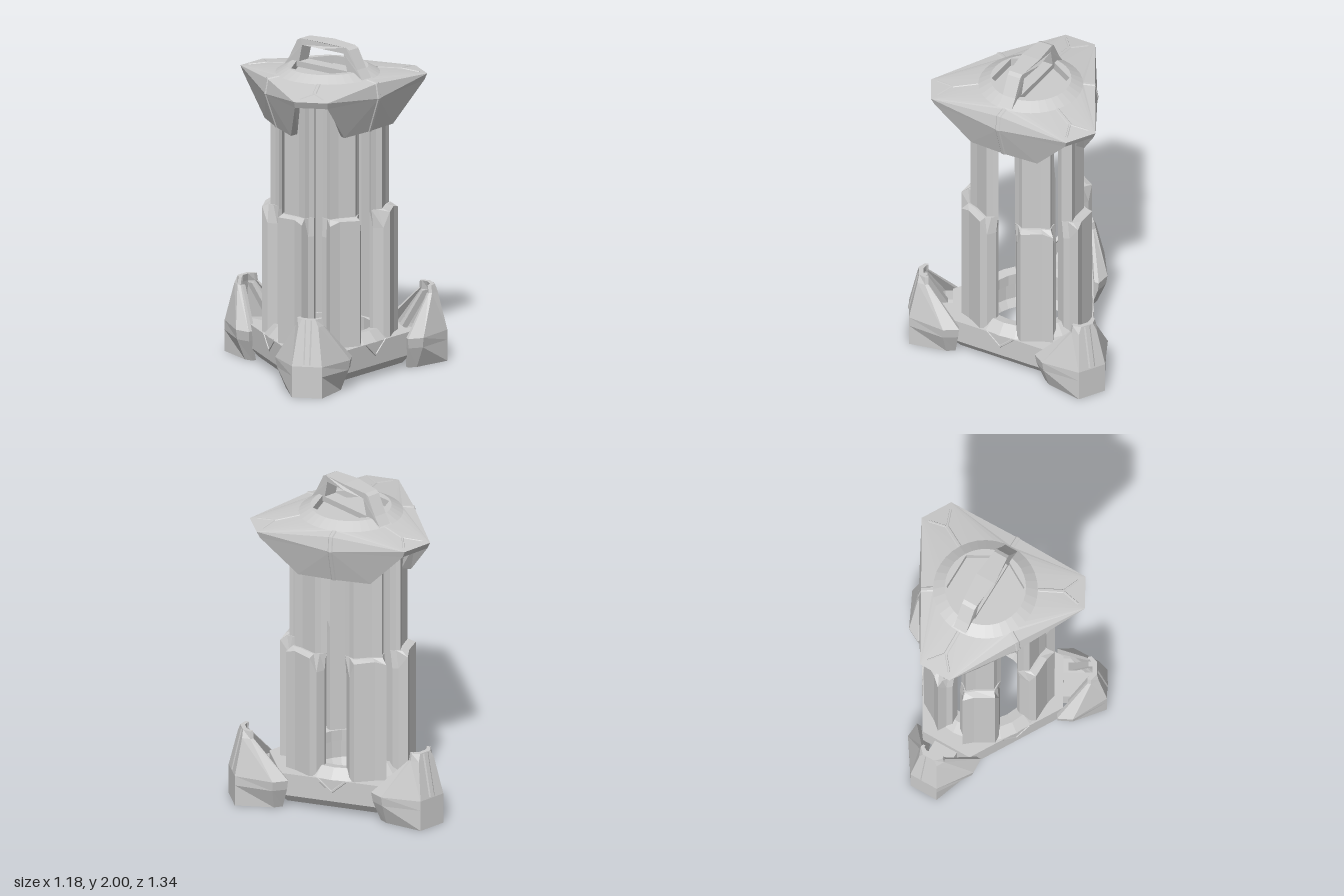
import * as THREE from 'three';

const metal = new THREE.MeshStandardMaterial({ color: 0xcccccc, side: THREE.DoubleSide });
metal.name = 'lightGrey';

const add = (parent, name, geometry) => {
  const flat = geometry.index ? geometry.toNonIndexed() : geometry;
  flat.computeVertexNormals();
  const mesh = new THREE.Mesh(flat, metal);
  mesh.name = name;
  parent.add(mesh);
};

// Flat polygons, each a list of [x, y, z] corners, fanned into triangles
function polygons(list) {
  const pos = [];
  for (const p of list)
    for (let i = 1; i < p.length - 1; i++) pos.push(...p[0], ...p[i], ...p[i + 1]);
  return new THREE.BufferGeometry().setAttribute('position', new THREE.Float32BufferAttribute(pos, 3));
}

// Solid through stacked outlines with equal point counts, capped at both ends
function loft(rows) {
  const flatten = s => s.map(p => new THREE.Vector2(p[0], p[2]));
  const sections = THREE.ShapeUtils.area(flatten(rows[0])) < 0 ? rows.map(s => [...s].reverse()) : rows;
  const faces = [];
  const n = sections[0].length, last = sections.length - 1;
  for (let j = 0; j < last; j++)
    for (let i = 0; i < n; i++) {
      const k = (i + 1) % n, a = sections[j], b = sections[j + 1];
      faces.push([a[i], b[i], b[k], a[k]]);
    }
  for (const t of THREE.ShapeUtils.triangulateShape(flatten(sections[0]), []))
    faces.push(t.map(i => sections[0][i]));
  for (const t of THREE.ShapeUtils.triangulateShape(flatten(sections[last]), []))
    faces.push(t.map(i => sections[last][i]).reverse());
  return polygons(faces);
}

const flip = p => [p[0], p[1], -p[2]];
const polar = (r, deg, y) => [r * Math.cos(deg * Math.PI / 180), y, r * Math.sin(deg * Math.PI / 180)];

// Raised rib following a path
function rib(path, half, lift) {
  const faces = [];
  for (let i = 0; i < path.length - 1; i++) {
    const a = new THREE.Vector3(...path[i]), b = new THREE.Vector3(...path[i + 1]);
    const dir = b.clone().sub(a).normalize();
    const ref = Math.abs(dir.y) > 0.6 ? new THREE.Vector3(1, 0, 0) : new THREE.Vector3(0, 1, 0);
    const side = new THREE.Vector3().crossVectors(dir, ref).normalize();
    const out = new THREE.Vector3().crossVectors(side, dir).normalize().multiplyScalar(lift);
    side.multiplyScalar(half);
    const at = (p, s, o) => p.clone().addScaledVector(side, s).addScaledVector(out, o).toArray();
    const ring = p => [at(p, 1, 0), at(p, 0.6, 1), at(p, -0.6, 1), at(p, -1, 0)];
    const A = ring(a), B = ring(b);
    for (let k = 0; k < 3; k++) faces.push([A[k], A[k + 1], B[k + 1], B[k]]);
  }
  return polygons(faces);
}

// Pillar outline on one side of an arm: [x, z]; outer corners first, then inner
const outer = [[0.34, 0.025], [0.36, 0.055], [0.41, 0.085], [0.366, 0.136], [0.301, 0.245], [0.26, 0.245], [0.205, 0.22]];
const inner = [[0.19, 0.195], [0.25, 0.1], [0.28, 0.025]];
const shoulder = [0.89, 0.89, 0.97, 0.99, 0.985, 0.89, 0.89];

function pillar(side) {
  const group = new THREE.Group();
  group.name = 'pillar';
  const section = (scale, y) => [
    ...outer.map(([x, z], i) => i < 2 || i === 6 ? [x * (scale + 1) / 2, y, z] : [x * scale, y, z * scale]),
    ...inner.map(([x, z]) => [x, y, z]),
  ].map(p => [p[0], p[1], p[2] * side]);
  const chamfer = section(1, 0.9).map((p, i) => [p[0], shoulder[i] ?? 0.94, p[2]]);
  add(group, 'lowerPillar', loft([section(1, 0.2), chamfer, section(0.9, 1)]));
  add(group, 'upperPillar', loft([section(0.87, 0.98), section(0.87, 1.73)]));
  return group;
}

// Claw foot: U-shaped outlines at rising heights
// [height, outer x, outer half width, shoulder x, wing x, wing half width, wall]
const footRows = [
  [0, 0.72, 0.09, 0.5, 0.445, 0.165, 0.035],
  [0.13, 0.72, 0.09, 0.52, 0.43, 0.215, 0.035],
  [0.19, 0.72, 0.09, 0.52, 0.425, 0.225, 0.035],
  [0.42, 0.67, 0.06, 0.625, 0.605, 0.085, 0.02],
  [0.465, 0.66, 0.04, 0.625, 0.605, 0.075, 0.02],
];

function foot() {
  const group = new THREE.Group();
  group.name = 'foot';
  add(group, 'clawShell', loft(footRows.map(([y, xo, h, xs, xw, w, t]) => {
    const half = [[xo, y, h], [xs, y, w], [xw, y, w - 0.005], [xw, y, w - t], [xs - t / 2, y, w - t], [xo - t * 1.3, y, h * 0.6]];
    return [...half, ...half.map(flip).reverse()];
  })));
  add(group, 'clawRib', rib([[0.662, 0.46, 0], [0.72, 0.2, 0]], 0.022, 0.005));
  // Strut to the base and a sloping inner brace
  add(group, 'strut', new THREE.BoxGeometry(0.3, 0.12, 0.15).translate(0.54, 0.12, 0));
  for (const s of [-1, 1])
    add(group, 'innerBrace', loft([
      [[0.49, 0.17, s * 0.09], [0.53, 0.17, s * 0.09], [0.53, 0.17, s * 0.14], [0.49, 0.17, s * 0.14]],
      [[0.61, 0.41, s * 0.03], [0.65, 0.41, s * 0.03], [0.65, 0.41, s * 0.06], [0.61, 0.41, s * 0.06]],
    ]));
  return group;
}

// One third of the roof: its panel faces local +x, corners lie at local +-z
function roofThird() {
  const group = new THREE.Group();
  group.name = 'roofThird';
  const rimMid = [0.38, 1.8, 0], bulge = [0.395, 1.71, 0], lowMid = [0.325, 1.5, 0];
  const corner = [0.382, 1.77, 0.461], cornerLow = [0.37, 1.73, 0.445], low = [0.315, 1.5, 0.225];
  const next = [0.208, 1.77, 0.561], nextLow = [0.2, 1.73, 0.543];
  const inTop = [0.31, 1.73, 0.37], inLow = [0.265, 1.5, 0.2];
  const skirt = [], top = [];
  for (const m of [f => f, f => f.map(flip).reverse()]) {
    skirt.push(m([bulge, rimMid, corner]), m([bulge, corner, cornerLow]),
      m([bulge, cornerLow, low]), m([bulge, low, lowMid]), m([low, cornerLow, inTop, inLow]));
    top.push(m([rimMid, polar(0.31, 0, 1.81), corner]));
    for (let a = 0; a < 60; a += 10)
      top.push(m([corner, polar(0.31, a, 1.81), polar(0.31, a + 10, 1.81)]));
  }
  skirt.push([inTop, flip(inTop), flip(inLow), inLow], [low, inLow, flip(inLow), flip(low), lowMid],
    [corner, next, nextLow, cornerLow]);
  top.push([corner, polar(0.31, 60, 1.81), next]);
  // Ceiling wedge
  top.push([[0, 1.73, 0], flip(cornerLow), cornerLow, nextLow]);
  add(group, 'skirt', polygons(skirt));
  add(group, 'roofTop', polygons(top));
  add(group, 'panelRib', rib([polar(0.31, 0, 1.81), rimMid, bulge, lowMid], 0.015, 0.005));
  return group;
}

// Y-shaped ribs on a roof tip, along local +x
function tipRibs() {
  const group = new THREE.Group();
  group.name = 'tipRibs';
  add(group, 'stem', rib([[0.31, 1.811, 0], [0.46, 1.79, 0]], 0.012, 0.004));
  for (const s of [-1, 1])
    add(group, 'fork', rib([[0.46, 1.79, 0], [0.55, 1.777, s * 0.075]], 0.007, 0.004));
  return group;
}

const shapeOf = pts => new THREE.Shape(pts.map(p => new THREE.Vector2(p[0], p[1])));

export function createModel() {
  const model = new THREE.Group();
  const body = new THREE.Group();
  body.name = 'lantern';
  body.position.x = -0.13;
  model.add(body);

  // Three arms with feet and pillar pairs, three roof panels between them
  for (let k = 0; k < 3; k++) {
    const arm = new THREE.Group();
    arm.name = 'arm';
    arm.rotation.y = -k * 2 * Math.PI / 3;
    arm.add(foot(), pillar(1), pillar(-1), tipRibs());
    const panel = new THREE.Group();
    panel.name = 'panel';
    panel.rotation.y = -(k * 2 + 1) * Math.PI / 3;
    panel.add(roofThird());
    // Notch outline on the base side
    for (const s of [-1, 1])
      add(panel, 'notchRib', rib([[0.37, 0.14, 0], [0.37, 0.22, s * 0.09]], 0.008, 0.005));
    body.add(arm, panel);
  }

  // Base: truncated triangle with a round opening and a tapered underside
  const basePts = [];
  for (let k = 0; k < 3; k++)
    for (const v of [-0.162, 0.162]) {
      const a = k * 2 * Math.PI / 3;
      basePts.push([0.46 * Math.cos(a) - v * Math.sin(a), 0.46 * Math.sin(a) + v * Math.cos(a)]);
    }
  const base = shapeOf(basePts);
  base.holes.push(new THREE.Path().absarc(0, 0, 0.29, 0, Math.PI * 2, true));
  const slab = (topY, depth) => new THREE.ExtrudeGeometry(base, { depth, bevelEnabled: false, curveSegments: 16 })
    .rotateX(Math.PI / 2).translate(0, topY, 0);
  add(body, 'base', slab(0.22, 0.14));
  const under = slab(0.08, 0.05);
  const up = under.attributes.position;
  for (let i = 0; i < up.count; i++)
    if (up.getY(i) < 0.05) up.setXYZ(i, up.getX(i) * 0.9, up.getY(i), up.getZ(i) * 0.9);
  add(body, 'baseUnderside', under);

  // Collar under the pillars
  const lathe = (pts, n) => new THREE.LatheGeometry(pts.map(p => new THREE.Vector2(p[0], p[1])), n);
  add(body, 'collar', lathe([[0.29, 0.2], [0.375, 0.22], [0.32, 0.28], [0.26, 0.27], [0.26, 0.2], [0.29, 0.2]], 24));

  // Roof crown: sloped ring, plate with a six-sided recess, and recess floor
  add(body, 'crownRing', lathe([[0.31, 1.81], [0.24, 1.85]], 36));
  const plate = new THREE.Shape().absarc(0, 0, 0.24, 0, Math.PI * 2);
  const hex = [0, 1, 2, 3, 4, 5].map(i => polar(0.23, i * 60, 0));
  plate.holes.push(shapeOf(hex.map(p => [p[0], p[2]])));
  add(body, 'crownPlate', new THREE.ExtrudeGeometry(plate, { depth: 0.05, bevelEnabled: false, curveSegments: 18 })
    .rotateX(Math.PI / 2).translate(0, 1.85, 0));
  add(body, 'crownFloor', new THREE.CircleGeometry(0.24, 24).rotateX(-Math.PI / 2).translate(0, 1.802, 0));

  // Carrying handle, widest at the middle
  const handle = shapeOf([[-0.3, 1.815], [-0.26, 1.87], [-0.2, 1.98], [-0.175, 1.993], [0, 2], [0.175, 1.993], [0.2, 1.98], [0.26, 1.87], [0.3, 1.815]]);
  handle.holes.push(shapeOf([[-0.185, 1.85], [-0.16, 1.955], [0, 1.96], [0.16, 1.955], [0.185, 1.85]]));
  const grip = new THREE.ExtrudeGeometry(handle, { depth: 0.12, bevelEnabled: false }).translate(0, 0, -0.06);
  const pos = grip.attributes.position;
  for (let i = 0; i < pos.count; i++)
    pos.setZ(i, pos.getZ(i) * (1 - 0.3 * Math.min(1, Math.abs(pos.getX(i)) / 0.2)));
  add(body, 'handle', grip.rotateY(-Math.PI / 3));

  return model;
}
